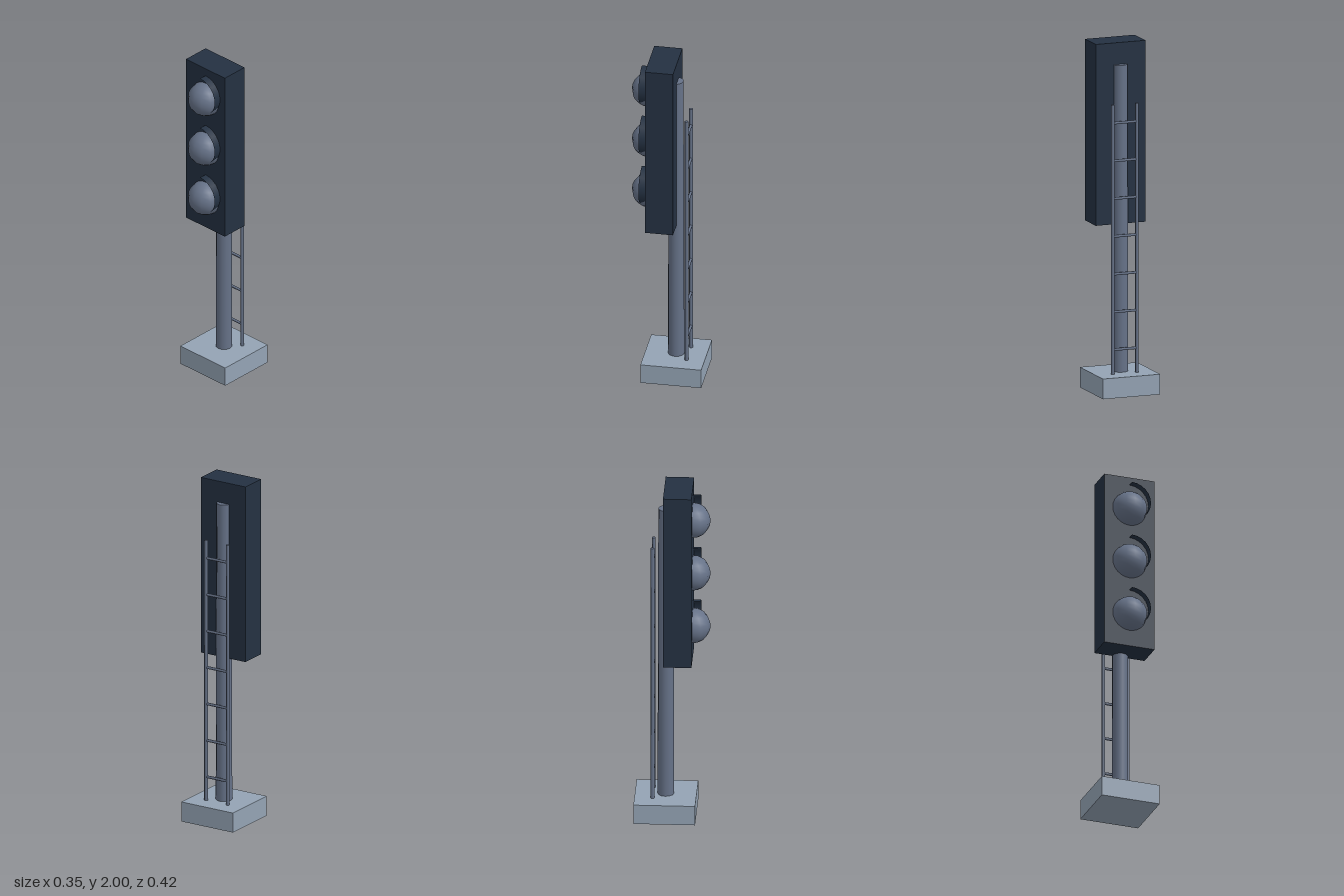
import * as THREE from 'three';

export function createModel() {
  const model = new THREE.Group();
  model.name = 'trafficSignal';

  const material = (name, color, side = THREE.FrontSide) =>
    new THREE.MeshStandardMaterial({ name, color, side });
  const concrete = material('concrete grey', 0x94a3b4);
  const steel = material('steel grey', 0x667288);
  const dark = material('dark housing', 0x243142, THREE.DoubleSide);

  const add = (name, geometry, mat, x, y, z, parent = model) => {
    const mesh = new THREE.Mesh(geometry, mat);
    mesh.name = name;
    mesh.position.set(x, y, z);
    parent.add(mesh);
    return mesh;
  };

  const poleZ = -0.0415;
  const baseHeight = 0.116;

  // Footing and tapered pole
  add('base', new THREE.BoxGeometry(0.346, baseHeight, 0.346), concrete, 0, baseHeight / 2, poleZ);
  const poleHeight = 1.873;
  add('pole', new THREE.CylinderGeometry(0.042, 0.047, poleHeight, 12), steel,
    0, 0.002 + poleHeight / 2, poleZ);

  // Signal housing
  add('housing', new THREE.BoxGeometry(0.3, 1.04, 0.16), dark, 0, 1.48, 0.03);

  // Domed lenses, each with a half-round side visor
  const lensGeometry = new THREE.SphereGeometry(0.1, 12, 12);
  const visorGeometry = new THREE.CylinderGeometry(0.113, 0.113, 0.054, 12, 1, true, 0, Math.PI);
  visorGeometry.rotateX(Math.PI / 2);
  for (let i = 0; i < 3; i++) {
    const y = 1.155 + i * 0.325;
    const lamp = new THREE.Group();
    lamp.name = 'lamp' + (i + 1);
    model.add(lamp);
    add('lens', lensGeometry, steel, 0, y, 0.11, lamp);
    add('visor', visorGeometry, dark, 0, y + 0.036, 0.127, lamp);
  }

  // Service ladder behind the pole
  const ladder = new THREE.Group();
  ladder.name = 'ladder';
  model.add(ladder);
  const ladderZ = -0.113;
  const ladderTop = 1.66;
  const railHeight = ladderTop - baseHeight + 0.006;
  const railGeometry = new THREE.CylinderGeometry(0.0105, 0.0105, railHeight, 6);
  for (const side of [-1, 1]) {
    add(side > 0 ? 'leftRail' : 'rightRail', railGeometry, steel,
      side * 0.073, ladderTop - railHeight / 2, ladderZ, ladder);
  }
  const rungGeometry = new THREE.CylinderGeometry(0.008, 0.008, 0.146, 6);
  rungGeometry.rotateZ(Math.PI / 2);
  for (let i = 0; i < 7; i++) {
    add('rung' + (i + 1), rungGeometry, steel, 0, 0.256 + i * 0.2165, ladderZ, ladder);
  }

  return model;
}
